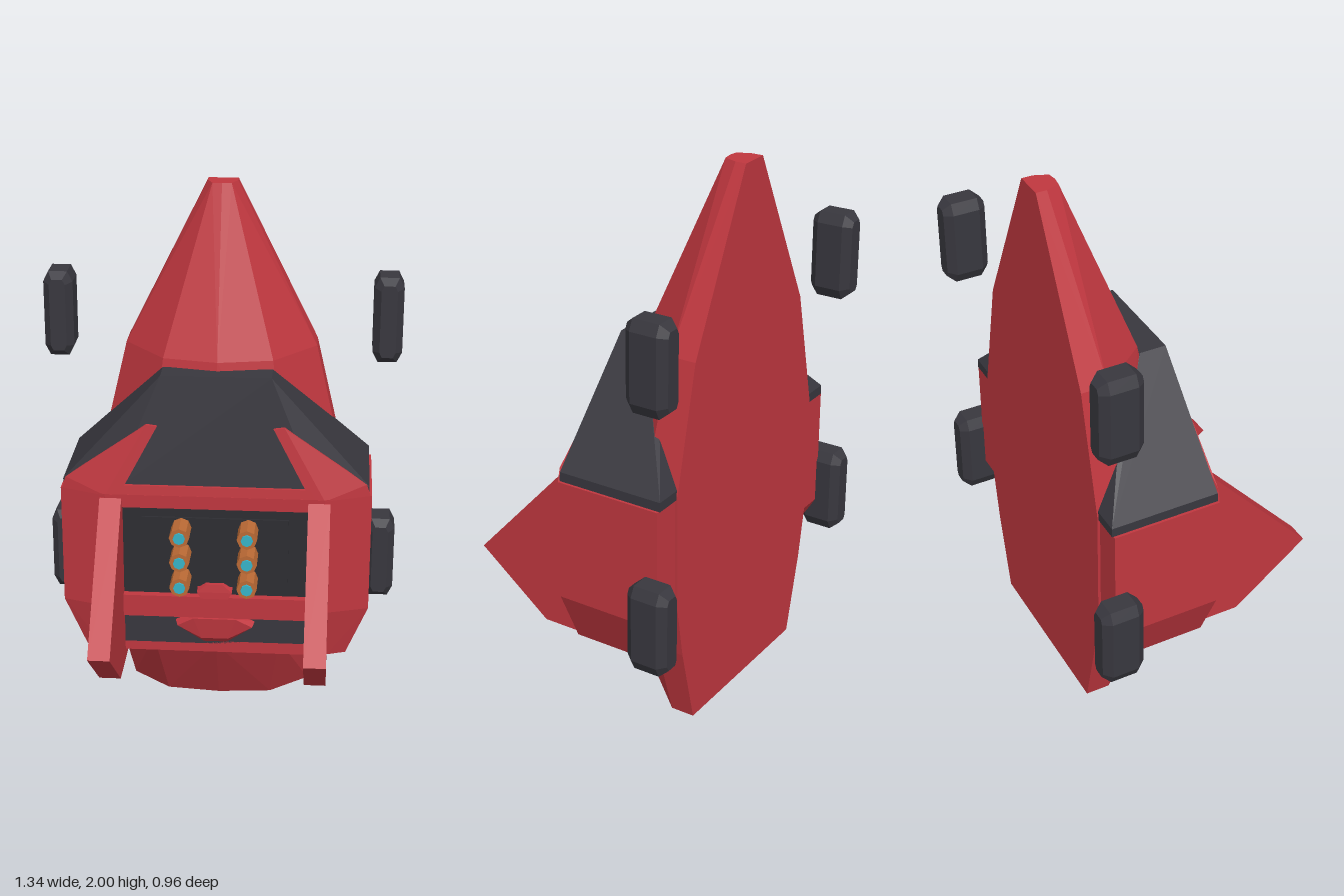
import * as THREE from 'three';
import { ConvexGeometry } from 'three/addons/geometries/ConvexGeometry.js';

const flat = (name, color) => {
  const m = new THREE.MeshStandardMaterial({ color, flatShading: true });
  m.name = name;
  return m;
};

export function createModel() {
  const root = new THREE.Group();
  const red = flat('red', 0xc0373f);
  const charcoal = flat('charcoal', 0x38373e);
  const black = flat('panel black', 0x2d2d32);
  const orange = flat('orange', 0xbb6a35);
  const cyan = flat('cyan', 0x38b4c8);

  const add = (name, geometry, material) => {
    const mesh = new THREE.Mesh(geometry, material);
    mesh.name = name;
    root.add(mesh);
    return mesh;
  };
  // Box given by its minimum and maximum corners
  const box = (name, material, [x0, y0, z0], [x1, y1, z1]) => {
    add(name, new THREE.BoxGeometry(x1 - x0, y1 - y0, z1 - z0), material)
      .position.set((x0 + x1) / 2, (y0 + y1) / 2, (z0 + z1) / 2);
  };
  // Faceted solid around a list of corners, x scaled by side, optionally mirrored
  const solid = (name, material, corners, side = 1, mirrored = false) => {
    const pts = corners.map(([x, y, z]) => new THREE.Vector3(x * side, y, z));
    if (mirrored) pts.push(...pts.filter(p => p.x !== 0).map(p => new THREE.Vector3(-p.x, p.y, p.z)));
    return add(name, new ConvexGeometry(pts), material);
  };

  // Half-cone hull: y, centre z, shoulder x, shoulder z, side x, side z
  const rings = [
    [0, -0.17, 0.2, -0.19, 0.345, -0.31],
    [0.3, 0, 0.24, -0.04, 0.42, -0.29],
    [0.5, 0.02, 0.25, -0.03, 0.455, -0.28],
    [0.95, 0, 0.25, -0.04, 0.46, -0.27],
    [1.4, -0.07, 0.2, -0.11, 0.355, -0.3],
    [2, -0.305, 0.035, -0.31, 0.055, -0.36],
  ];
  solid('hull', red, rings.flatMap(([y, cz, sx, sz, ex, ez]) =>
    [[0, y, cz], [sx, y, sz], [ex, y, ez], [ex, y, -0.4]]), 1, true);

  // Dark sloping collar over the armour
  solid('collar', charcoal, [
    [0.2, 1.37, 0], [0.2, 1.37, -0.1], [0.43, 1.11, -0.28], [0.43, 1.11, -0.31],
    [0.56, 0.97, -0.395], [0.56, 0.97, 0.012], [0.56, 0.935, -0.395],
    [0.56, 0.935, 0.015], [0.38, 0.935, 0.058],
  ], 1, true);

  // Recessed front panels with red cross bars
  box('weaponPanel', black, [-0.36, 0.5, -0.2], [0.36, 0.94, 0.04]);
  box('weaponPlate', black, [-0.27, 0.565, 0.04], [0.27, 0.84, 0.048]);
  box('lowerPanel', charcoal, [-0.36, 0.32, -0.2], [0.36, 0.46, 0.035]);
  box('topBar', red, [-0.36, 0.885, 0], [0.36, 0.935, 0.07]);
  solid('topLip', red, [[0.37, 0.93, 0.02], [0.37, 0.93, 0.07], [0.35, 0.97, 0.02], [0.35, 0.97, 0.065]], 1, true);
  box('middleBar', red, [-0.36, 0.445, 0], [0.36, 0.53, 0.07]);
  box('bottomLip', red, [-0.36, 0.285, -0.2], [0.36, 0.33, 0.035]);
  solid('centreKnob', red, [
    [0.035, 0.58, 0.04], [0.03, 0.58, 0.065], [0.065, 0.56, 0.04], [0.065, 0.55, 0.07],
    [0.05, 0.525, 0.04], [0.05, 0.525, 0.072],
  ], 1, true);
  solid('chin', red, [
    [0.08, 0.445, 0.03], [0.08, 0.44, 0.07], [0.15, 0.42, 0.03], [0.14, 0.405, 0.06],
    [0.07, 0.345, 0.03], [0.04, 0.325, 0.03], [0.05, 0.355, 0.06],
  ], 1, true);

  // Launcher tubes with cyan tips
  for (const x of [-0.123, 0.123]) for (const y of [0.605, 0.705, 0.803]) {
    for (const [name, r, z1, mat] of [['launcherTube', 0.037, 0.15, orange], ['launcherTip', 0.022, 0.158, cyan]]) {
      const tube = add(name, new THREE.CylinderGeometry(r, r, z1 - 0.03, 8), mat);
      tube.rotation.x = Math.PI / 2;
      tube.position.set(x, y, (z1 + 0.03) / 2);
    }
  }

  // Arm fin profile in (z, y) and its extrusion across x
  const fin = new THREE.Shape([[0.07, 0.92], [0.478, 0.47], [0.195, 0.245], [-0.09, 0.245], [-0.09, 0.92]]
    .map(([z, y]) => new THREE.Vector2(-z, y)));
  const finGeo = new THREE.ExtrudeGeometry(fin, { depth: 0.08, bevelEnabled: false })
    .translate(0, 0, -0.04).rotateY(Math.PI / 2);

  // Bevelled pod block
  const c = 0.02, w = 0.055 - 0.025, h = 0.1575 - 0.02;
  const podShape = new THREE.Shape([[-w + c / 2, -h], [w - c / 2, -h], [w, -h + c], [w, h - c],
    [w - c / 2, h], [-w + c / 2, h], [-w, h - c], [-w, -h + c]].map(p => new THREE.Vector2(...p)));
  const podGeo = new THREE.ExtrudeGeometry(podShape, {
    depth: 0.1, bevelThickness: 0.03, bevelSize: 0.025, bevelSegments: 1,
  }).translate(0, 0, -0.05);

  for (const s of [-1, 1]) {
    const side = s > 0 ? 'left' : 'right';
    // Side armour with chamfered front and tapered foot
    const section = y => [[0.35, y, -0.39], [0.57, y, -0.39], [0.57, y, 0.015], [0.4, y, 0.07], [0.35, y, 0.07]];
    solid(side + 'Armour', red, [
      ...section(0.935), ...section(0.48),
      [0.36, 0.285, -0.28], [0.49, 0.285, -0.28], [0.49, 0.285, 0], [0.42, 0.285, 0.025], [0.36, 0.285, 0.03],
    ], s);
    // Pointed red shoulder spike lying on the collar
    solid(side + 'Spike', red, [
      [0.21, 1.19, 0.036], [0.25, 1.195, 0.036], [0.35, 0.93, 0.07], [0.4, 0.93, 0.07], [0.565, 0.935, 0.018],
      [0.55, 0.98, 0.02], [0.21, 1.19, 0], [0.25, 1.195, 0], [0.35, 0.93, 0], [0.55, 0.93, 0],
    ], s);
    add(side + 'Arm', finGeo, red).position.x = s * 0.38;
    for (const [label, y] of [['Lower', 0.522], ['Upper', 1.487]])
      add(side + label + 'Pod', podGeo, charcoal).position.set(s * 0.615, y, -0.4);
  }
  return root;
}
